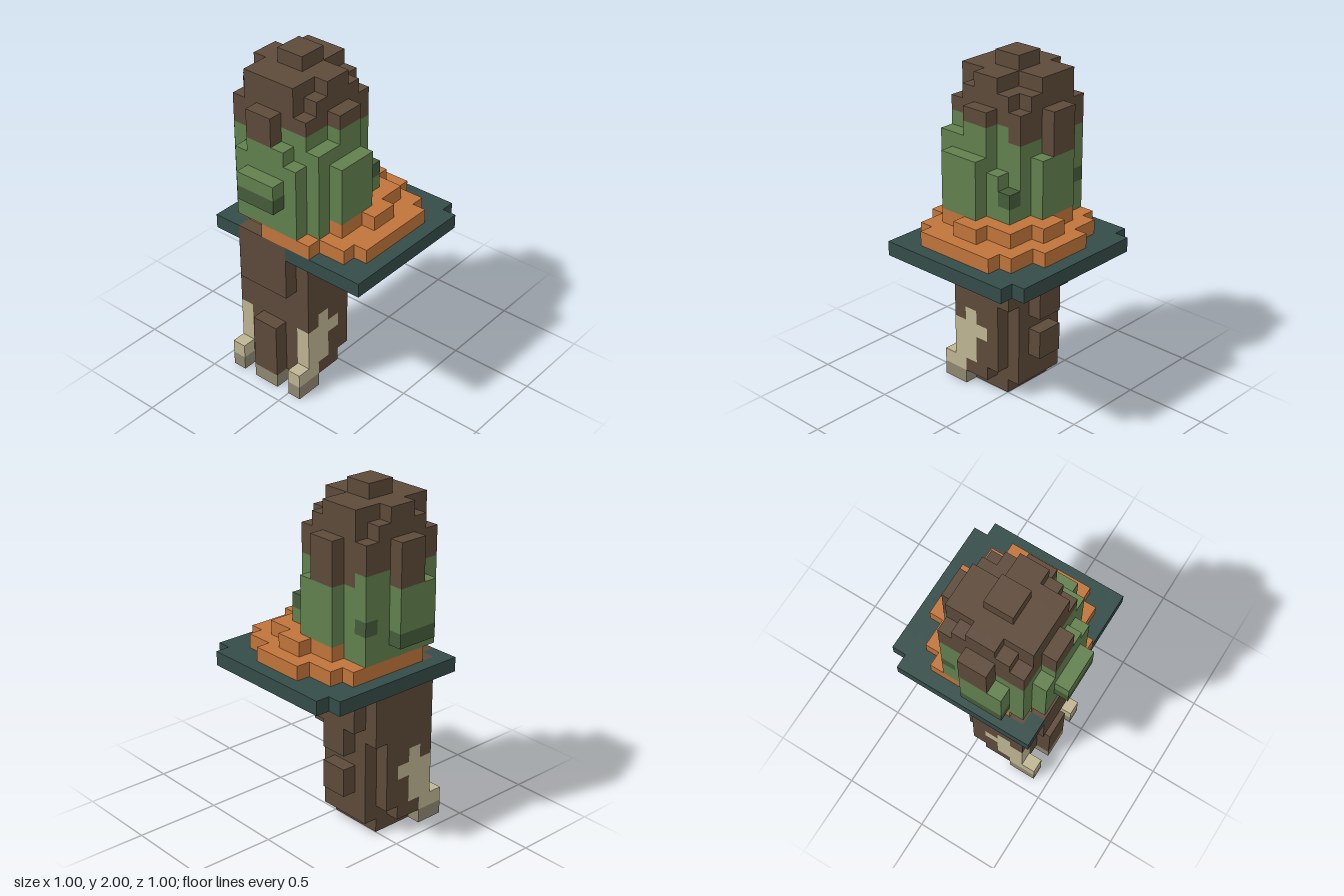
import * as THREE from 'three';

const U = 1 / 12; // edge of one cube
const material = (name, color) => {
  const m = new THREE.MeshStandardMaterial({ color });
  m.name = name;
  return m;
};

// The six sides of a cube: outward direction and two in-plane axes (u x v = n)
const SIDES = [
  [[1, 0, 0], [0, 1, 0], [0, 0, 1]], [[-1, 0, 0], [0, 0, 1], [0, 1, 0]],
  [[0, 1, 0], [0, 0, 1], [1, 0, 0]], [[0, -1, 0], [1, 0, 0], [0, 0, 1]],
  [[0, 0, 1], [1, 0, 0], [0, 1, 0]], [[0, 0, -1], [0, 1, 0], [1, 0, 0]],
];

export function createModel() {
  const brown = material('bark brown', 0x5d4a3a);
  const green = material('leaf green', 0x62804e);
  const darkGreen = material('dark green', 0x455c3a);
  const orange = material('orange', 0xc0743a);
  const teal = material('dark teal', 0x344c48);
  const cream = material('cream', 0xbfb592);
  const olive = material('grey olive', 0x8f8770);

  // Cubes by position; later boxes overwrite earlier ones
  const cells = new Map();
  const key = (x, y, z) => `${x},${y},${z}`;
  const fill = (part, mat, x0, x1, y0, y1, z0, z1) => {
    for (let x = x0; x < x1; x++)
      for (let y = y0; y < y1; y++)
        for (let z = z0; z < z1; z++) {
          if (mat) cells.set(key(x, y, z), { part, mat, p: [x, y, z] });
          else cells.delete(key(x, y, z));
        }
  };

  // Brim with an open centre
  fill('brim', teal, 1, 11, 11, 12, 0, 12);
  fill('brim', teal, 11, 12, 11, 12, 1, 11);
  fill('brim', null, 3, 9, 11, 12, 2, 9);
  fill('brim', null, 9, 10, 11, 12, 4, 8);
  fill('brim', null, 4, 8, 11, 12, 9, 10);

  // Lower orange disc, row by row, and the smaller step on it
  [[3, 9], [2, 10], [2, 10], [1, 11], [1, 11], [1, 11], [1, 11], [2, 10], [2, 10], [3, 9]]
    .forEach(([a, b], i) => fill('collar', orange, a, b, 12, 13, i + 1, i + 2));
  fill('collarStep', orange, 3, 9, 13, 14, 3, 9);
  fill('collarStep', orange, 9, 10, 13, 14, 5, 7);
  fill('collarStep', orange, 5, 7, 13, 14, 9, 10);

  // Trunk
  fill('trunk', brown, 3, 6, 0, 1, 2, 6);
  fill('trunk', brown, 2, 7, 1, 12, 2, 6);
  for (const z of [1, 6]) {
    fill('trunk', brown, 2, 6, 2, 7, z, z + 1);
    fill('trunk', brown, 3, 5, 1, 2, z, z + 1);
    fill('trunk', brown, 2, 7, 7, 12, z, z + 1);
  }
  fill('trunk', brown, 7, 8, 8, 12, 2, 6);
  fill('trunk', brown, 7, 8, 6, 8, 3, 5);
  fill('trunk', brown, 1, 2, 8, 12, 2, 6);
  fill('trunkKnot', brown, 7, 8, 3, 5, 3, 5);

  // Pale roots climbing both sides of the trunk
  for (const z of [1, 6]) {
    fill('root', olive, 1, 3, 0, 1, z, z + 1);
    fill('root', cream, 1, 3, 1, 2, z, z + 1);
    fill('root', cream, 2, 4, 2, 5, z, z + 1);
    fill('root', cream, 3, 4, 5, 6, z, z + 1);
    fill('root', cream, 4, 5, 4, 5, z, z + 1);
  }
  fill('root', olive, 1, 3, 0, 1, 3, 5);
  fill('trunkKnot', brown, 1, 2, 1, 5, 3, 5);

  // Green crown
  fill('crown', green, 2, 8, 13, 19, 1, 7);
  fill('crown', green, 1, 2, 13, 18, 2, 7);
  fill('crown', green, 1, 2, 18, 19, 3, 6);
  fill('crown', green, 2, 4, 13, 19, 7, 8);
  fill('crown', green, 4, 6, 14, 20, 7, 8);
  fill('crown', green, 6, 7, 14, 17, 7, 8);
  fill('crown', green, 7, 8, 14, 16, 7, 8);
  fill('crown', green, 3, 6, 14, 18, 8, 9);
  fill('crown', green, 8, 9, 14, 18, 3, 6);
  fill('crown', green, 3, 6, 15, 18, 0, 1);

  // Shaded undersides and the side lug
  fill('crownUnderside', darkGreen, 3, 6, 14, 15, 0, 1);
  fill('crownUnderside', darkGreen, 7, 8, 15, 16, 7, 8);
  fill('crownUnderside', darkGreen, 7, 8, 15, 16, 1, 2);
  fill('sideLug', darkGreen, 0, 1, 15, 16, 3, 6);
  fill('sideLug', green, 0, 1, 16, 17, 3, 6);

  // Brown cap with drips
  fill('cap', brown, 2, 8, 19, 21, 1, 7);
  fill('crown', green, 2, 7, 19, 20, 5, 7);
  fill('cap', brown, 2, 8, 21, 22, 2, 6);
  fill('cap', brown, 3, 7, 21, 22, 1, 7);
  fill('cap', brown, 4, 6, 22, 23, 1, 7);
  fill('cap', brown, 2, 8, 22, 23, 2, 5);
  fill('cap', brown, 2, 6, 22, 23, 5, 6);
  fill('capTip', brown, 4, 6, 23, 24, 3, 5);
  fill('drip', brown, 8, 9, 18, 21, 3, 5);
  fill('drip', brown, 7, 8, 18, 19, 2, 5);
  fill('drip', brown, 1, 2, 19, 21, 3, 5);
  fill('drip', brown, 4, 6, 20, 21, 7, 8);
  fill('drip', brown, 4, 6, 18, 21, 0, 1);

  // Collect the exposed faces of each part and colour
  const meshes = new Map();
  for (const { part, mat, p } of cells.values()) {
    const id = part + mat.name;
    if (!meshes.has(id)) meshes.set(id, { part, mat, pos: [], nor: [] });
    const out = meshes.get(id);
    for (const [n, u, v] of SIDES) {
      if (cells.has(key(p[0] + n[0], p[1] + n[1], p[2] + n[2]))) continue;
      for (const [a, b] of [[0, 0], [1, 0], [1, 1], [0, 0], [1, 1], [0, 1]]) {
        const c = p.map((q, d) => (q + Math.max(n[d], 0) + a * u[d] + b * v[d]) * U);
        out.pos.push(c[0] - 0.5, c[1], c[2] - 0.5);
        out.nor.push(...n);
      }
    }
  }

  const group = new THREE.Group();
  group.name = 'tree';
  for (const { part, mat, pos, nor } of meshes.values()) {
    const geo = new THREE.BufferGeometry();
    geo.setAttribute('position', new THREE.Float32BufferAttribute(pos, 3));
    geo.setAttribute('normal', new THREE.Float32BufferAttribute(nor, 3));
    const mesh = new THREE.Mesh(geo, mat);
    mesh.name = part;
    group.add(mesh);
  }
  return group;
}
